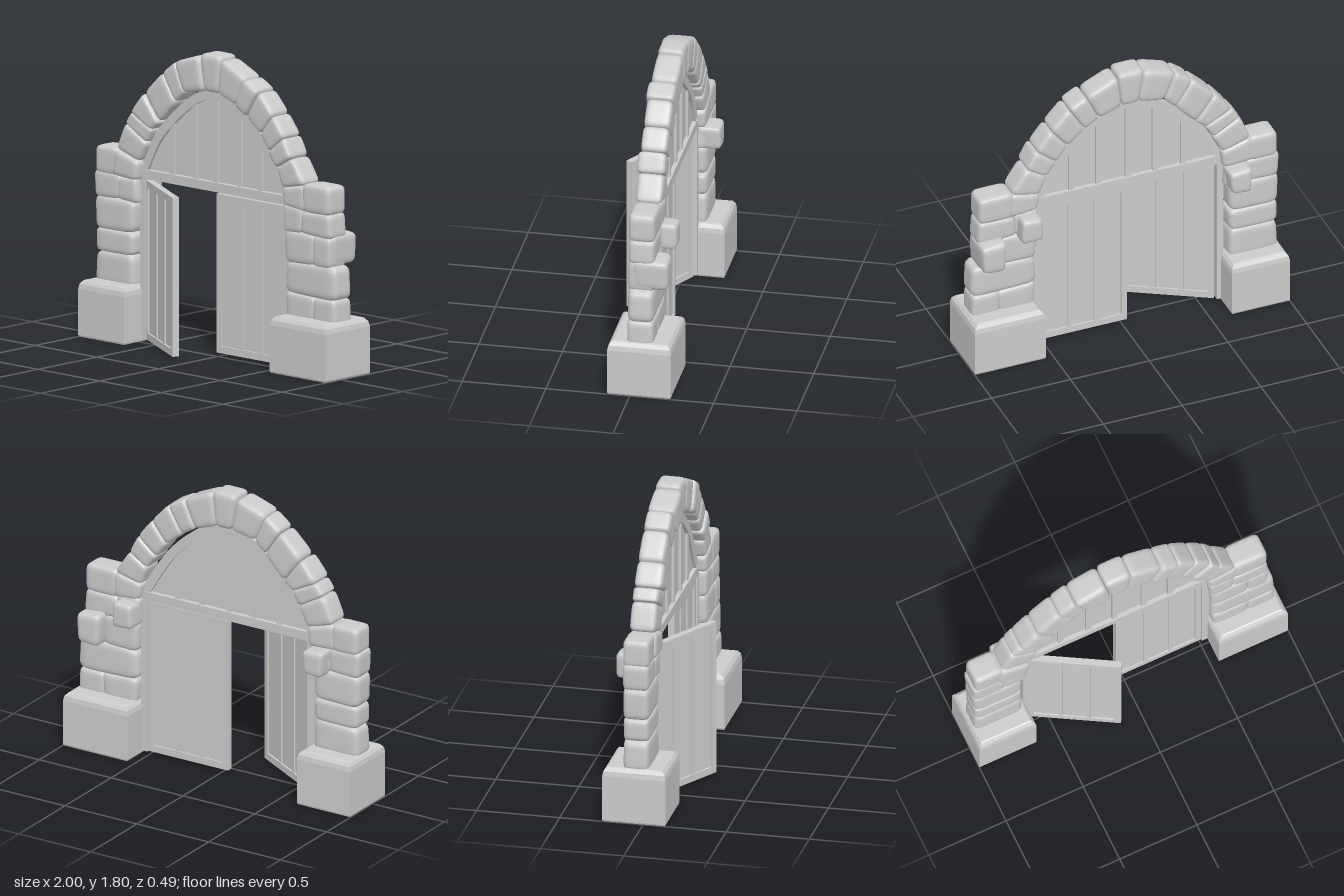
import * as THREE from 'three';
import { mergeVertices } from 'three/addons/utils/BufferGeometryUtils.js';

const material = new THREE.MeshStandardMaterial({ color: 0xcccccc, side: THREE.DoubleSide });
const flat = new THREE.MeshStandardMaterial({ color: 0xcccccc, flatShading: true });
const Z0 = -0.13, Z1 = 0.025; // depth range of the masonry

function add(parent, name, geometry, mat = material) {
  const mesh = new THREE.Mesh(geometry, mat);
  mesh.name = name;
  parent.add(mesh);
  return mesh;
}

function box(parent, name, x0, x1, y0, y1, z0, z1) {
  const mesh = add(parent, name, new THREE.BoxGeometry(x1 - x0, y1 - y0, z1 - z0));
  mesh.position.set((x0 + x1) / 2, (y0 + y1) / 2, (z0 + z1) / 2);
  return mesh;
}

// Pillow-shaped stone filling a four-cornered outline (counter-clockwise from bottom left)
function stone(parent, name, corners, z0 = Z0, z1 = Z1) {
  let g = new THREE.BoxGeometry(2, 2, 2, 10, 10, 10);
  g.deleteAttribute('uv');
  g.deleteAttribute('normal');
  g = mergeVertices(g);
  const p = g.attributes.position, power = 7;
  for (let i = 0; i < p.count; i++) {
    const c = [p.getX(i), p.getY(i), p.getZ(i)];
    const norm = c.reduce((s, v) => s + Math.abs(v) ** power, 0) ** (1 / power);
    const [u, v, w] = c.map(k => k / norm * 1.015);
    const weights = [(1 - u) * (1 - v), (1 + u) * (1 - v), (1 + u) * (1 + v), (1 - u) * (1 + v)];
    const at = k => corners.reduce((s, q, j) => s + q[k] * weights[j] / 4, 0);
    p.setXYZ(i, at(0), at(1), (z0 + z1) / 2 + w * (z1 - z0) / 2);
  }
  g.computeVertexNormals();
  return add(parent, name, g);
}

// Square plinth with a softened top edge
function plinth(parent, name, x0, x1) {
  const profile = [[0, 0], [0.98, 0], [1, 0.01], [1, 0.285], [0.97, 0.315], [0.89, 0.335], [0.84, 0.34], [0, 0.34]];
  const g = new THREE.LatheGeometry(profile.map(([r, y]) => new THREE.Vector2(r * Math.SQRT1_2 * 2, y)), 4);
  g.rotateY(Math.PI / 4);
  g.scale((x1 - x0) / 2, 1, 0.19);
  g.translate((x0 + x1) / 2, 0, -0.055);
  add(parent, name, g, flat);
}

// Panelled door leaf, hinge edge at x = 0
function door(name) {
  const leaf = new THREE.Group(), w = 0.55, y0 = 0.015, y1 = 0.965, t = 0.02;
  leaf.name = name;
  box(leaf, 'doorPanel', 0.01, w - 0.01, y0 + 0.01, y1 - 0.01, -0.008, 0.008);
  for (const x of [0, w - 0.035]) box(leaf, 'doorStile', x, x + 0.035, y0, y1, -t, t);
  for (const y of [y0, y1 - 0.042]) box(leaf, 'doorRail', 0.03, w - 0.03, y, y + 0.042, -t, t);
  for (const x of [w * 0.35, w * 0.65]) box(leaf, 'doorBatten', x - 0.014, x + 0.014, y0 + 0.03, y1 - 0.03, -t + 0.003, t - 0.003);
  return leaf;
}

function extrude(shape, z0, z1) {
  const g = new THREE.ExtrudeGeometry(shape, { depth: z1 - z0, bevelEnabled: false });
  return g.translate(0, 0, z0);
}

export function createModel() {
  const model = new THREE.Group();
  model.name = 'archedGate';

  plinth(model, 'rightPlinth', -1, -0.63);
  plinth(model, 'leftPlinth', 0.55, 1);

  // Arch joints: inner x, y and outer x, y, from -x over the crown to +x
  const joints = [
    [-0.63, 0.965, -0.83, 0.975], [-0.62, 1.08, -0.805, 1.135], [-0.56, 1.2, -0.735, 1.3],
    [-0.515, 1.285, -0.685, 1.37], [-0.455, 1.335, -0.58, 1.5], [-0.325, 1.475, -0.435, 1.64],
    [-0.255, 1.545, -0.33, 1.72], [-0.09, 1.575, -0.13, 1.785], [0.015, 1.575, 0.04, 1.785],
    [0.16, 1.525, 0.24, 1.695], [0.25, 1.47, 0.35, 1.635], [0.36, 1.38, 0.465, 1.51],
    [0.43, 1.285, 0.56, 1.39], [0.495, 1.2, 0.62, 1.275], [0.535, 1.085, 0.72, 1.125],
    [0.55, 0.985, 0.73, 0.965]];
  const arch = new THREE.Group();
  arch.name = 'archStones';
  model.add(arch);
  for (let i = 0; i < joints.length - 1; i++) {
    const a = joints[i], b = joints[i + 1], key = i === 7;
    stone(arch, key ? 'keystone' : 'archStone',
      [[a[0], a[1]], [b[0], b[1]], [b[2], b[3] + (key ? 0.012 : 0)], [a[2], a[3] + (key ? 0.012 : 0)]],
      Z0, Z1 + (i % 3 === 0 ? 0.012 : 0));
  }

  // Pier stones: x0, x1, y0, y1 and optional depth range
  const piers = {
    rightPier: [
      [-0.97, -0.79, 0.97, 1.135], [-0.98, -0.77, 0.83, 0.985], [-0.79, -0.64, 0.83, 0.97],
      [-0.975, -0.67, 0.64, 0.835], [-0.97, -0.67, 0.505, 0.645], [-0.97, -0.67, 0.31, 0.51],
      [-0.775, -0.645, 0.82, 0.97, -0.215, -0.06]],
    leftPier: [
      [0.7, 0.92, 0.965, 1.135], [0.55, 0.7, 0.83, 0.99], [0.69, 0.925, 0.83, 0.97],
      [0.56, 0.8, 0.65, 0.84], [0.79, 0.925, 0.65, 0.835], [0.565, 0.965, 0.465, 0.66],
      [0.57, 0.8, 0.31, 0.47], [0.79, 0.965, 0.31, 0.465],
      [0.55, 0.68, 0.82, 0.97, -0.215, -0.06], [0.78, 0.93, 0.66, 0.85, -0.21, 0.0]]
  };
  for (const [name, stones] of Object.entries(piers)) {
    const pier = new THREE.Group();
    pier.name = name;
    model.add(pier);
    stones.forEach(([x0, x1, y0, y1, z0, z1], i) => {
      const s = 0.006 * Math.sin(i * 2.3); // slight irregular slant
      stone(pier, 'pierStone', [[x0 + s, y0 - s], [x1 - s, y0 + s], [x1 + s, y1 - s], [x0 - s, y1 + s]], z0, z1);
    });
  }

  // Wooden frame: jambs, lintel and the arched fanlight above
  box(model, 'rightJamb', -0.645, -0.603, 0.015, 1, -0.085, -0.02);
  box(model, 'leftJamb', 0.513, 0.56, 0.015, 1, -0.085, -0.02);
  box(model, 'lintel', -0.64, 0.56, 0.975, 1.03, -0.085, -0.02);

  const curve = new THREE.SplineCurve([[-0.59, 1.03], [-0.47, 1.24], [-0.225, 1.46], [-0.04, 1.525],
    [0.145, 1.455], [0.33, 1.29], [0.5, 1.03]].map(p => new THREE.Vector2(...p)));
  const inner = curve.getPoints(36);
  const centre = new THREE.Vector2(-0.045, 1.02);
  const outer = inner.map(p => p.clone().sub(centre).multiplyScalar(1.12).add(centre));
  const frame = new THREE.Shape([...outer, ...inner.slice().reverse()]);
  add(model, 'fanlightFrame', extrude(frame, -0.08, -0.025));
  add(model, 'fanlightPanel', extrude(new THREE.Shape(outer), -0.06, -0.045));
  for (const x of [-0.395, -0.215, -0.045, 0.145, 0.315]) {
    const top = inner.reduce((a, b) => Math.abs(b.x - x) < Math.abs(a.x - x) ? b : a).y;
    box(model, 'fanlightBar', x - 0.017, x + 0.017, 1.02, top + 0.015, -0.075, -0.03);
  }

  // Two door leaves: one standing open to the front, one closed
  const open = door('openDoor');
  open.position.set(-0.6, 0, -0.05);
  open.rotation.y = -Math.PI / 6;
  const closed = door('closedDoor');
  closed.position.set(0.513, 0, -0.05);
  closed.rotation.y = Math.PI;
  model.add(open, closed);
  return model;
}
